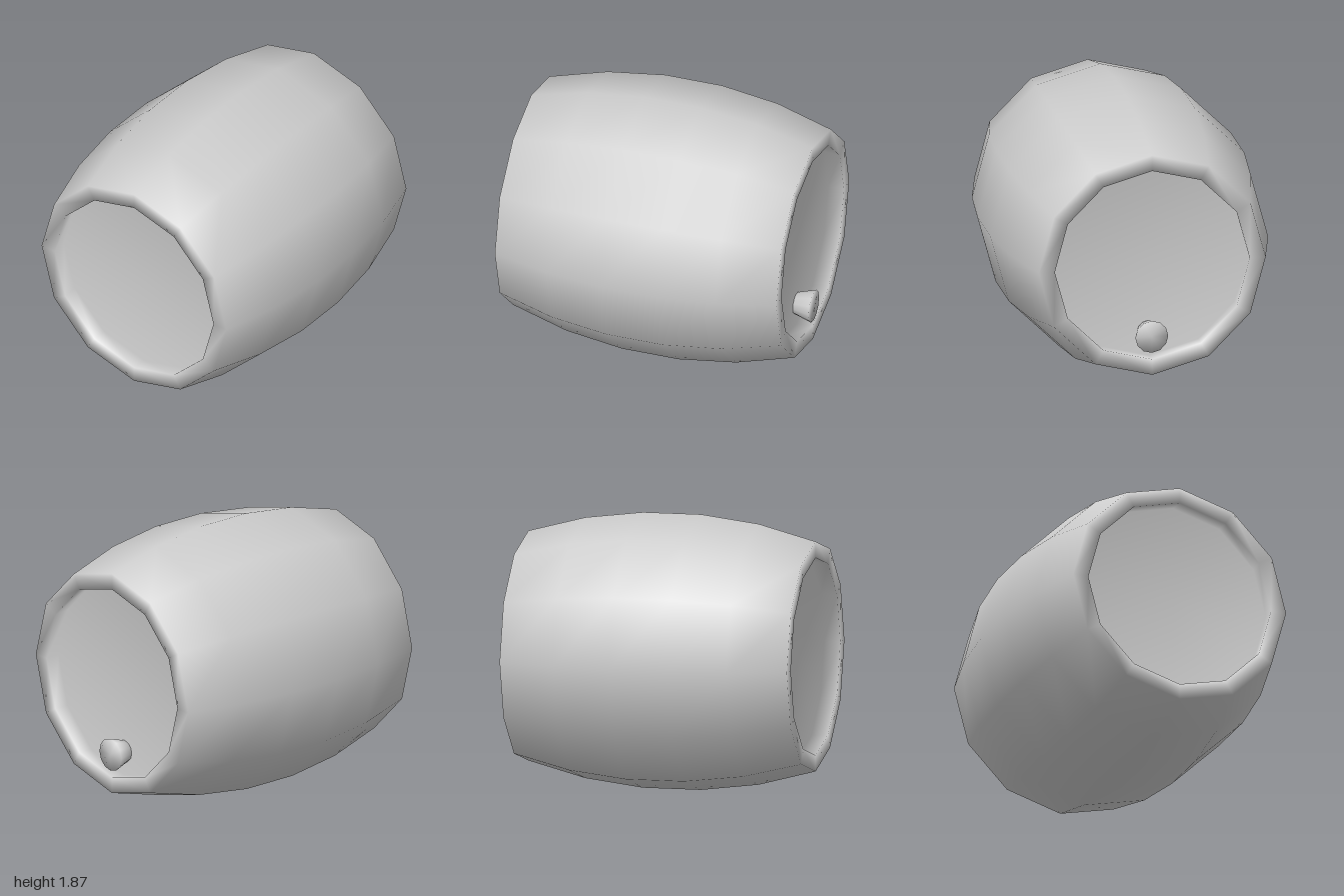
import * as THREE from 'three';

// Smooth twelve-sided solid of revolution along the x axis; profile is [radius, x] with x ascending
function turned(name, profile, material) {
  const points = profile.map(([r, x]) => new THREE.Vector2(r, x));
  const geometry = new THREE.LatheGeometry(points, 12);
  geometry.rotateZ(-Math.PI / 2);
  const mesh = new THREE.Mesh(geometry, material);
  mesh.name = name;
  return mesh;
}

export function createModel() {
  const group = new THREE.Group();
  group.name = 'barrel';
  const grey = new THREE.MeshStandardMaterial({ color: 0xcccccc });
  grey.name = 'plain grey';

  // Barrel half: recessed head, rounded lip, bulging staves; mirrored for the other end
  const half = [[0, 0.88], [0.68, 0.88], [0.67, 0.995], [0.78, 0.995], [0.885, 0.6], [0.935, 0.2]];
  const left = half.map(([r, x]) => [r, -x]);
  const body = turned('barrelBody', [...left, ...half.slice().reverse()], grey);
  body.position.set(-0.004, 0.935, 0);
  group.add(body);

  // Tapered stopper low on the left head
  const stopper = turned('stopper', [[0, 0.86], [0.07, 0.86], [0.113, 1.0], [0, 1.0]], grey);
  stopper.position.set(0, 0.428, 0.005);
  group.add(stopper);

  return group;
}
